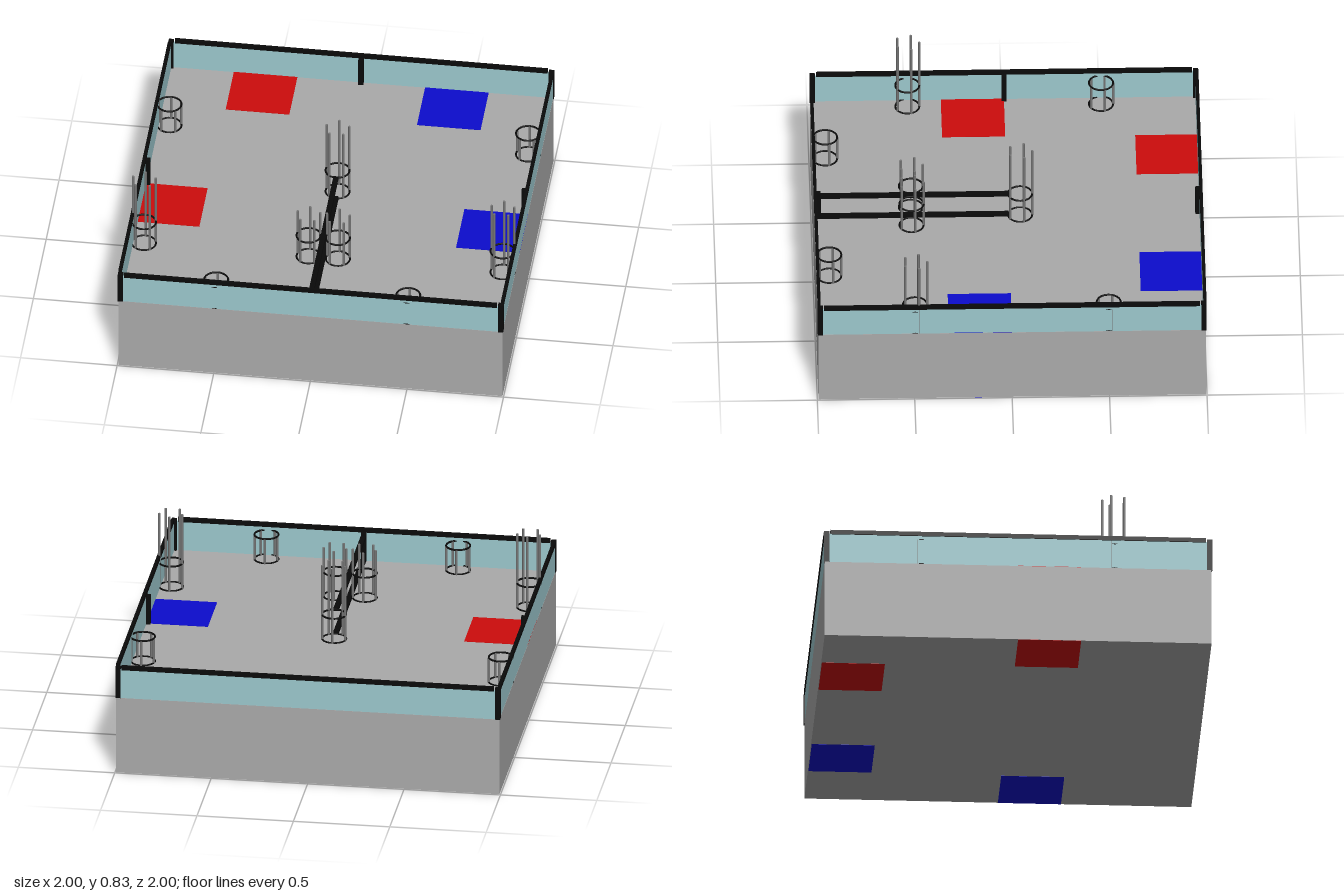
import * as THREE from 'three';

const mat = (name, color) => {
  const m = new THREE.MeshStandardMaterial({ color });
  m.name = name;
  return m;
};

export function createModel() {
  const gray = mat('floor gray', 0xaaaaaa);
  const teal = mat('panel teal', 0x9cc8cd);
  const black = mat('frame black', 0x0a0a0a);
  const red = mat('zone red', 0xcc0c0c);
  const blue = mat('zone blue', 0x0c0ccc);
  const rodGray = mat('rod gray', 0x777777);

  const model = new THREE.Group();
  model.name = 'playingField';
  const FLOOR = 0.415, HALF = 0.994;

  const box = (parent, name, m, [w, h, d], [x, y, z]) => {
    const mesh = new THREE.Mesh(new THREE.BoxGeometry(w, h, d), m);
    mesh.position.set(x, y, z);
    mesh.name = name;
    parent.add(mesh);
    return mesh;
  };

  // Solid base
  box(model, 'base', gray, [HALF * 2, FLOOR, HALF * 2], [0, FLOOR / 2, 0]);

  // Coloured corner zones, shown on the floor and on the underside
  for (const [side, m] of [[-1, red], [1, blue]]) {
    for (const [x, z] of [[0.495, -0.829], [0.829, 0.162]]) {
      for (const y of [FLOOR, 0.001]) {
        box(model, 'zone', m, [0.329, 0.004, 0.324], [side * x, y, z]);
      }
    }
  }

  // Four walls: panel, top rail, corner post and inner middle post
  for (let i = 0; i < 4; i++) {
    const wall = new THREE.Group();
    wall.name = 'wall';
    wall.rotation.y = i * Math.PI / 2;
    box(wall, 'panel', teal, [1.96, 0.16, 0.01], [0, FLOOR + 0.08, HALF - 0.006]);
    box(wall, 'topRail', black, [1.93, 0.023, 0.016], [0, 0.583, 0.99]);
    box(wall, 'cornerPost', black, [0.027, 0.172, 0.027], [0.984, FLOOR + 0.086, 0.984]);
    box(wall, 'middlePost', black, [0.026, 0.16, 0.022], [0, FLOOR + 0.08, 0.972]);
    model.add(wall);
  }

  // Centre divider of two parallel bars
  for (const y of [FLOOR + 0.009, 0.553]) {
    box(model, 'dividerBar', black, [0.026, 0.018, 0.985], [0, y, 0.4925]);
  }

  // Round goals: two hoops joined by five rods of a given height
  const R = 0.062, UNIT = 0.138;
  const hoopGeo = new THREE.TorusGeometry(R, 0.005, 6, 32).rotateX(Math.PI / 2);
  const goal = (x, z, units) => {
    const g = new THREE.Group();
    g.name = 'goal';
    g.position.set(x, FLOOR, z);
    for (const y of [0.002, UNIT]) {
      const hoop = new THREE.Mesh(hoopGeo, black);
      hoop.name = 'hoop';
      hoop.position.y = y;
      g.add(hoop);
    }
    const h = UNIT * units;
    const rodGeo = new THREE.CylinderGeometry(0.0065, 0.0065, h, 8);
    for (let i = 0; i < 5; i++) {
      const a = Math.PI + i * Math.PI * 0.4;
      const rod = new THREE.Mesh(rodGeo, rodGray);
      rod.name = 'rod';
      rod.position.set(Math.sin(a) * R, h / 2, Math.cos(a) * R);
      g.add(rod);
    }
    model.add(g);
  };
  for (const s of [-1, 1]) {
    goal(s * 0.928, -0.497, 1);
    goal(s * 0.497, 0.928, 1);
    goal(s * 0.076, 0.497, 2);
    goal(s * 0.928, 0.497, 3);
  }
  goal(0, -0.062, 3);

  return model;
}
